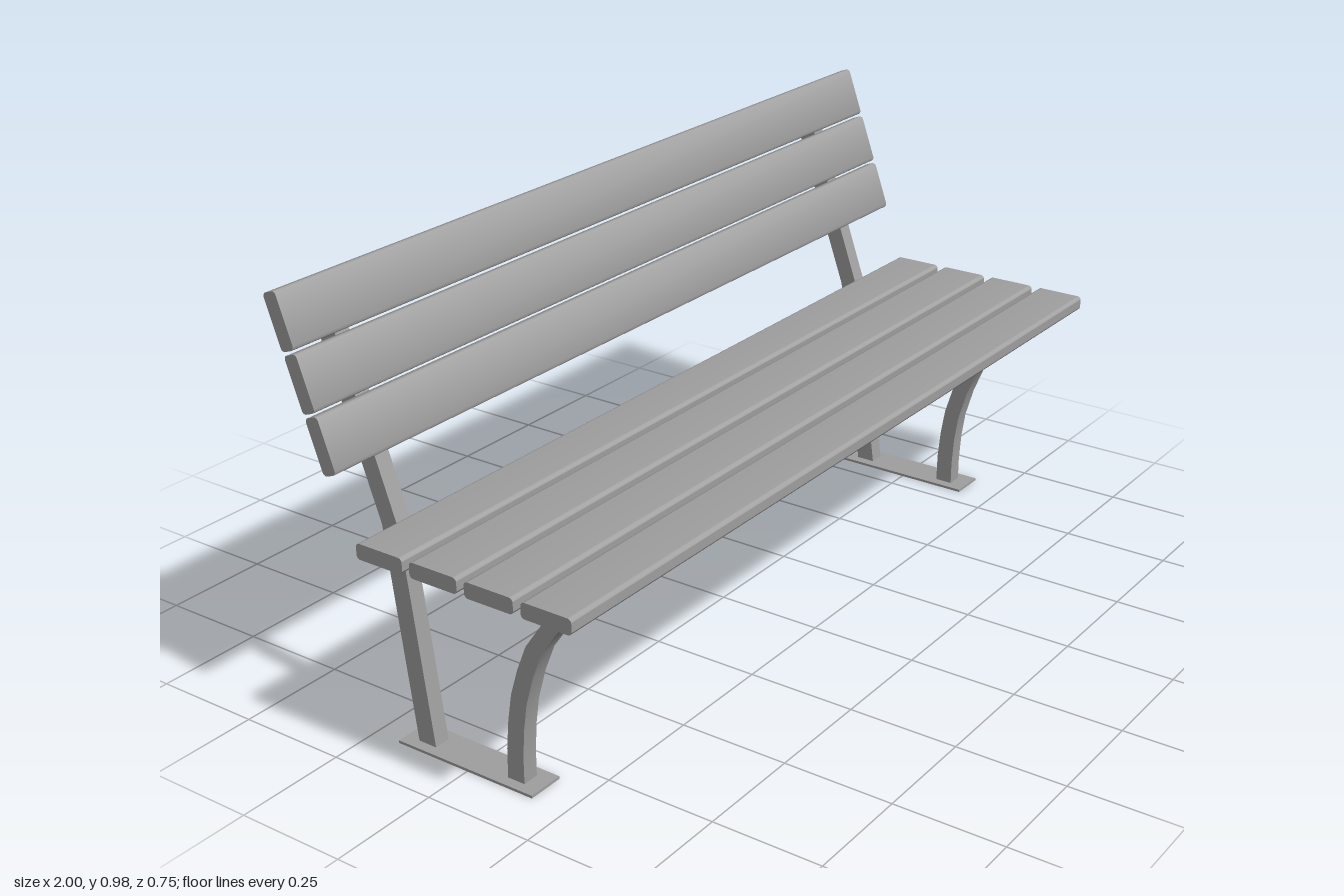
import * as THREE from 'three';
import { toCreasedNormals } from 'three/addons/utils/BufferGeometryUtils.js';

const material = new THREE.MeshStandardMaterial({ color: 0x9f9f9f });
const SLAT_WIDTH = 0.117, SLAT_THICK = 0.034, TILT = 0.344;

// Extrude a side profile (u = towards the back, y = up) across x, centred on x = 0.
function extrudeAcross(shape, width, tilt = 0) {
  const geo = new THREE.ExtrudeGeometry(shape, { depth: width, bevelEnabled: false, curveSegments: 5 });
  geo.translate(0, 0, -width / 2).rotateZ(tilt).rotateY(Math.PI / 2);
  return toCreasedNormals(geo, 0.6);
}

function roundedRect(w, h, r) {
  const s = new THREE.Shape(), x = w / 2, y = h / 2;
  s.absarc(x - r, y - r, r, 0, Math.PI / 2);
  s.absarc(-x + r, y - r, r, Math.PI / 2, Math.PI);
  s.absarc(-x + r, -y + r, r, Math.PI, Math.PI * 1.5);
  s.absarc(x - r, -y + r, r, Math.PI * 1.5, Math.PI * 2);
  s.closePath();
  return s;
}

// One-piece side frame: back post, seat rail and curved front leg.
function frameShape() {
  const s = new THREE.Shape();
  s.moveTo(0.103, 0.004);
  s.lineTo(0.148, 0.004);
  s.lineTo(0.212, 0.478);
  s.lineTo(0.372, 0.925);
  s.quadraticCurveTo(0.378, 0.943, 0.363, 0.947);
  s.quadraticCurveTo(0.345, 0.952, 0.334, 0.949);
  s.lineTo(0.168, 0.478);
  s.lineTo(-0.338, 0.478);
  const outer = [[-0.277, 0.432], [-0.226, 0.375], [-0.186, 0.318], [-0.162, 0.258],
    [-0.142, 0.188], [-0.133, 0.125], [-0.129, 0.06], [-0.129, 0.004]];
  const inner = [[-0.087, 0.004], [-0.088, 0.073], [-0.094, 0.138], [-0.104, 0.2],
    [-0.122, 0.26], [-0.146, 0.32], [-0.189, 0.382], [-0.236, 0.433]];
  for (const [u, y] of [...outer, ...inner]) s.lineTo(u, y);
  s.lineTo(0.162, 0.433);
  s.closePath();
  return s;
}

export function createModel() {
  const group = new THREE.Group();
  const add = (name, geo, x, y, z) => {
    const mesh = new THREE.Mesh(geo, material);
    mesh.name = name;
    mesh.position.set(x, y, z);
    group.add(mesh);
  };

  // Side frames and foot plates
  const frame = extrudeAcross(frameShape(), 0.038);
  const plate = new THREE.BoxGeometry(0.085, 0.006, 0.35);
  for (const [side, x] of [['left', 0.845], ['right', -0.845]]) {
    add(side + 'Frame', frame, x, 0, 0);
    add(side + 'FootPlate', plate, x, 0.003, -0.008);
  }

  // Seat slats, front to back
  const seatSlat = extrudeAcross(roundedRect(SLAT_WIDTH, SLAT_THICK, 0.009), 2);
  for (let i = 0; i < 4; i++) add('seatSlat' + (i + 1), seatSlat, 0, 0.495, 0.315 - i * 0.135);

  // Backrest slats, bottom to top, leaning with the posts
  const backSlat = extrudeAcross(roundedRect(SLAT_THICK, SLAT_WIDTH, 0.009), 2, -TILT);
  for (let i = 0; i < 3; i++) add('backSlat' + (i + 1), backSlat, 0, 0.691 + i * 0.1165, -0.223 - i * 0.0425);

  return group;
}
